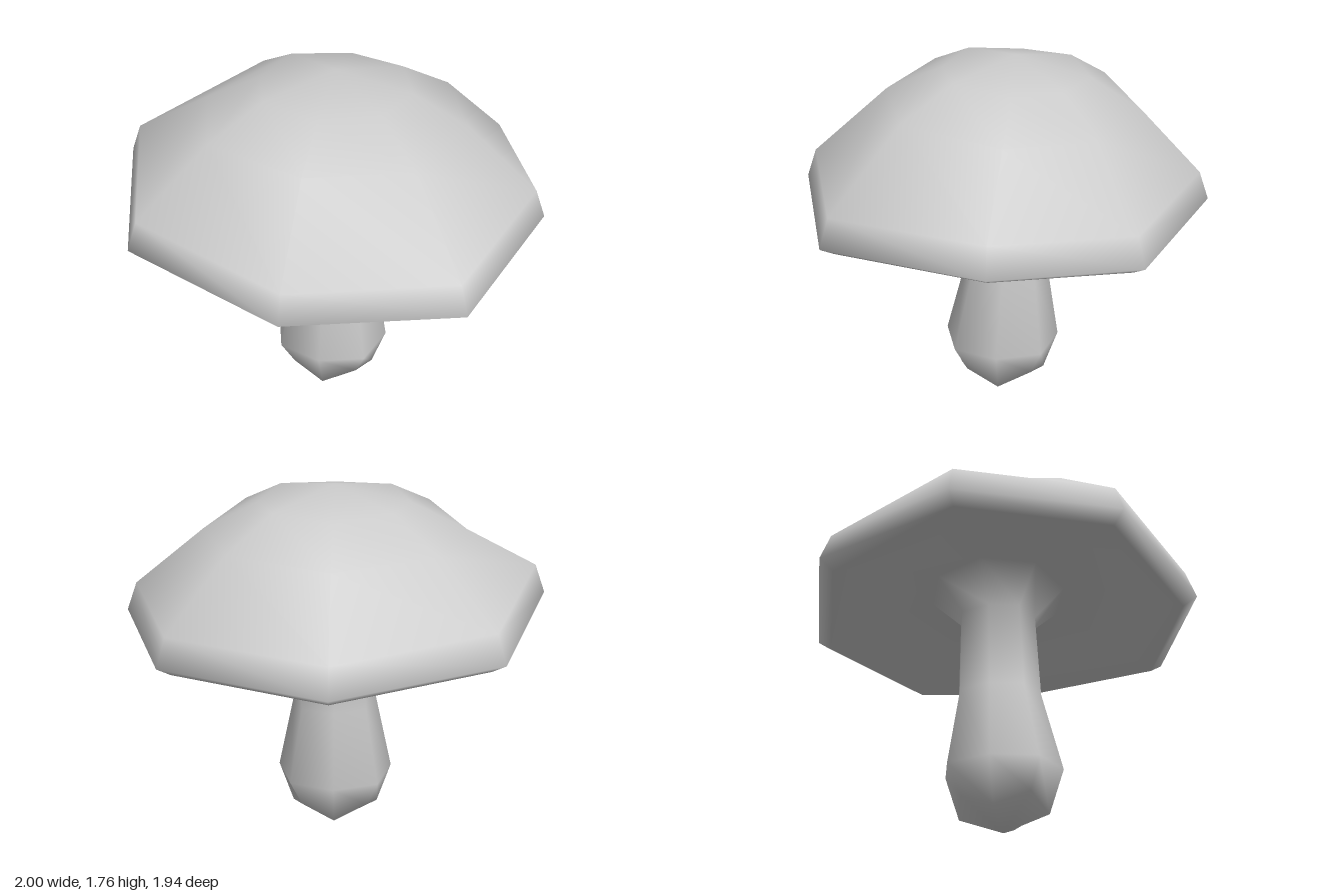
import * as THREE from 'three';

const SIDES = 8;

// Cap outline seen from above (x, z) and how far its wavy rim rises, from the front towards +x
const OUTLINE = [[0, 0.97], [0.75, 0.718], [1, -0.03], [0.75, -0.67],
  [0, -0.97], [-0.75, -0.67], [-1, 0.01], [-0.75, 0.718]];
const WAVE = [-0.02, -0.03, 0, -0.045, -0.052, -0.012, 0.095, 0.045];

// Ring that follows the cap outline: scale, height, z shift, share of the wave,
// slope along z, lift of the diagonal corners
function capRing(scale, y, dz = 0, wave = 0, slope = 0, lift = 0) {
  return OUTLINE.map(([x, z], k) =>
    [x * scale, y + wave * WAVE[k] + slope * z * scale + lift * (k % 2), z * scale + dz]);
}

// Stem ring, a little wider at the diagonal corners, which may also sit higher
function stemRing(r, y, dz, lift = 0) {
  return OUTLINE.map((_, k) => {
    const a = (k / SIDES) * Math.PI * 2;
    const radius = r * (k % 2 ? 1.07 : 1);
    return [radius * Math.sin(a), y + lift * (k % 2), radius * Math.cos(a) + dz];
  });
}

export function createModel() {
  const rings = [
    // top of the cap
    capRing(0, 1.757, -0.05),
    capRing(0.355, 1.673, -0.053, 0, 0.04, 0.015),
    capRing(0.613, 1.543, -0.038, 0, 0.05, 0.01),
    capRing(0.95, 1.265, 0, 1),
    // rim and hollow underside
    capRing(1, 1.13, 0, 1),
    capRing(0.93, 1.085, 0, 1),
    capRing(0.7, 1.185, -0.01, 0.6),
    capRing(0.35, 1.24, -0.02, 0.2),
    // stem
    stemRing(0.19, 1.09, -0.018),
    stemRing(0.205, 0.67, -0.008),
    stemRing(0.285, 0.285, 0.013),
    stemRing(0.215, 0.075, 0.013, 0.065),
    stemRing(0, 0, 0.01),
  ];
  const last = rings.length - 1;
  const stemStart = 8;

  // Both poles share one vertex so the shading stays smooth
  const id = (i, k) => i * SIDES + (i === 0 || i === last ? 0 : k % SIDES);

  function bands(from, to) {
    const index = [];
    for (let i = from; i < to; i++) {
      for (let k = 0; k < SIDES; k++) {
        const a = id(i, k), b = id(i + 1, k), c = id(i + 1, k + 1), d = id(i, k + 1);
        if (b !== c) index.push(a, b, c);
        if (a !== d) index.push(a, c, d);
      }
    }
    return index;
  }

  // One continuous skin gives normals that run smoothly from cap to stem
  const skin = new THREE.BufferGeometry();
  skin.setAttribute('position', new THREE.Float32BufferAttribute(rings.flat(2), 3));
  skin.setIndex(bands(0, last));
  skin.computeVertexNormals();

  const material = new THREE.MeshStandardMaterial({ color: 0xcccccc });
  const group = new THREE.Group();
  group.name = 'mushroom';
  for (const [name, from, to] of [['cap', 0, stemStart], ['stem', stemStart, last]]) {
    const part = skin.clone();
    part.setIndex(bands(from, to));
    const mesh = new THREE.Mesh(part, material);
    mesh.name = name;
    group.add(mesh);
  }
  return group;
}
